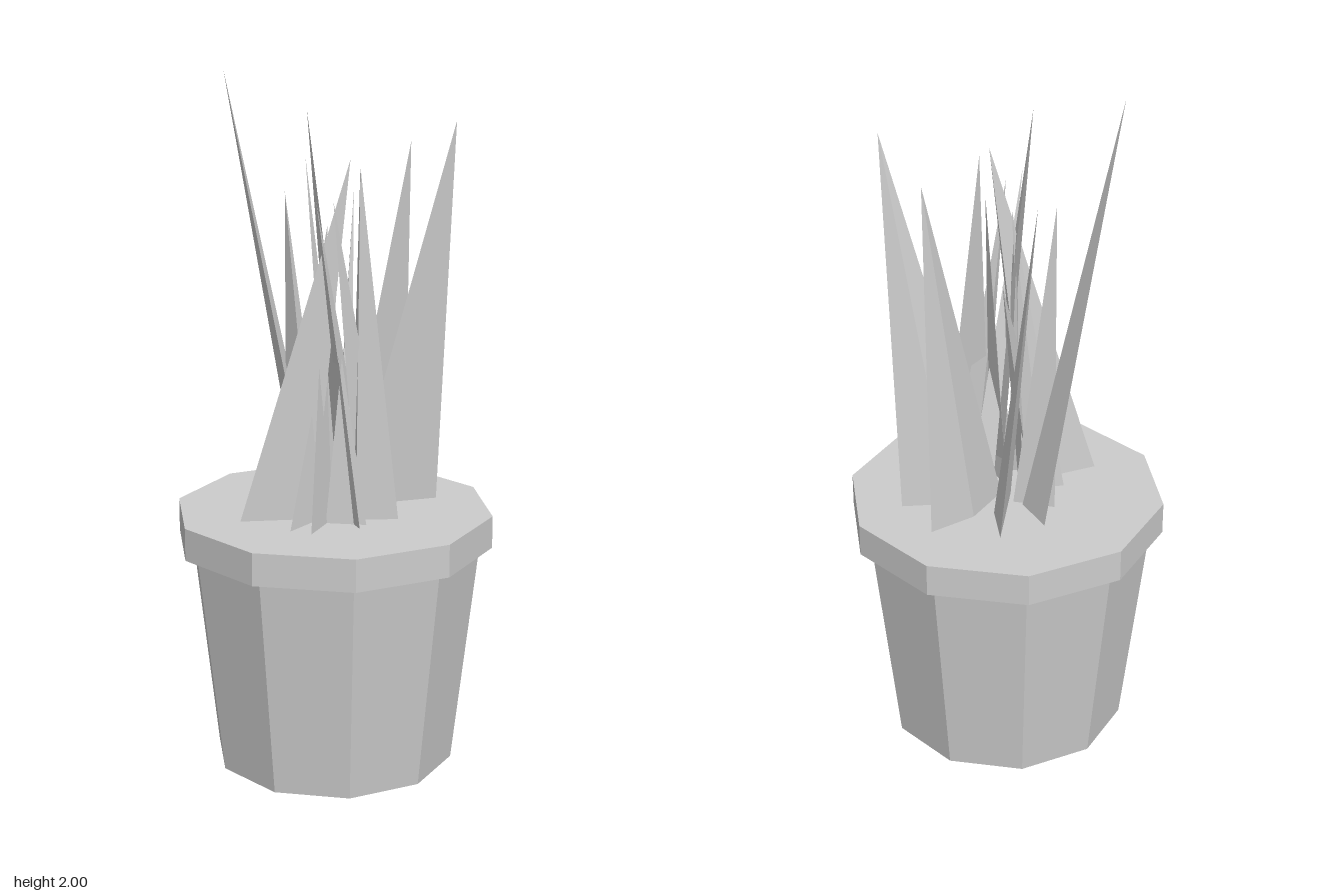
import * as THREE from 'three';

export function createModel() {
  const model = new THREE.Group();
  const grey = new THREE.MeshStandardMaterial({ name: 'grey', color: 0xcccccc, flatShading: true });
  const leafGrey = grey.clone();
  leafGrey.name = 'leaf grey';
  leafGrey.side = THREE.DoubleSide;

  // Ten-sided planter parts
  function decagon(name, topRadius, bottomRadius, y0, y1) {
    const mesh = new THREE.Mesh(new THREE.CylinderGeometry(topRadius, bottomRadius, y1 - y0, 10), grey);
    mesh.position.y = (y0 + y1) / 2;
    mesh.name = name;
    model.add(mesh);
  }
  decagon('pot', 0.427, 0.352, 0, 0.665);
  decagon('rim', 0.463, 0.463, 0.66, 0.755);

  // Each leaf is a three-sided spike: tip, then outer, crease and inner base points (x, z)
  const baseY = 0.75;
  function leaf(tip, ...base) {
    const points = [];
    const corners = base.map(([x, z]) => [x, baseY, z]);
    for (let i = 0; i < 3; i++) points.push(...tip, ...corners[i], ...corners[(i + 1) % 3]);
    const geometry = new THREE.BufferGeometry();
    geometry.setAttribute('position', new THREE.Float32BufferAttribute(points, 3));
    geometry.computeVertexNormals();
    const mesh = new THREE.Mesh(geometry, leafGrey);
    mesh.name = 'leaf';
    leaves.add(mesh);
  }
  const leaves = new THREE.Group();
  leaves.name = 'leaves';
  model.add(leaves);

  // Tall outer leaves
  leaf([-0.33, 2.0, 0.04], [-0.19, -0.125], [-0.08, -0.05], [-0.05, 0.04]);
  leaf([0.29, 1.87, -0.18], [0.22, -0.225], [0.1, -0.145], [0.03, -0.03]);
  leaf([0.1, 1.79, -0.28], [0.075, -0.305], [0.01, -0.175], [0.005, -0.02]);
  leaf([-0.18, 1.74, -0.16], [-0.11, -0.24], [-0.03, -0.13], [-0.02, -0.01]);
  leaf([-0.14, 1.67, 0.03], [-0.17, -0.02], [-0.05, 0.03], [-0.05, -0.05]);

  // Leaves rooted outside and leaning across the middle
  leaf([0.09, 1.78, 0.07], [-0.17, 0.245], [0, 0.125], [-0.04, 0.08]);
  leaf([-0.04, 1.91, 0.08], [0.16, 0.14], [0.11, 0.09], [0.04, 0.04]);
  leaf([0.11, 1.76, 0.05], [0.215, 0.01], [0.11, 0.07], [0.07, 0.03]);
  leaf([0.05, 1.68, -0.025], [0.07, 0.13], [0.11, 0.1], [0.02, 0.04]);
  leaf([0.055, 1.68, 0.2], [0.095, -0.055], [0.1, 0.03], [0.03, -0.03]);
  leaf([0.07, 1.67, 0.13], [0.17, -0.035], [0.1, 0.04], [0.09, -0.035]);

  // Short front leaves
  leaf([0.03, 1.6, 0.09], [-0.14, 0.1], [-0.09, 0.07], [-0.03, 0.05]);
  leaf([0, 1.42, -0.02], [0, 0.255], [-0.035, 0.08], [0.02, 0.11]);
  leaf([-0.01, 1.45, 0.04], [0.065, 0.25], [0.015, 0.12], [0.05, 0.1]);
  leaf([0.08, 1.23, 0.1], [0.16, 0.1], [0.05, 0.14], [0.04, 0.06]);
  return model;
}
